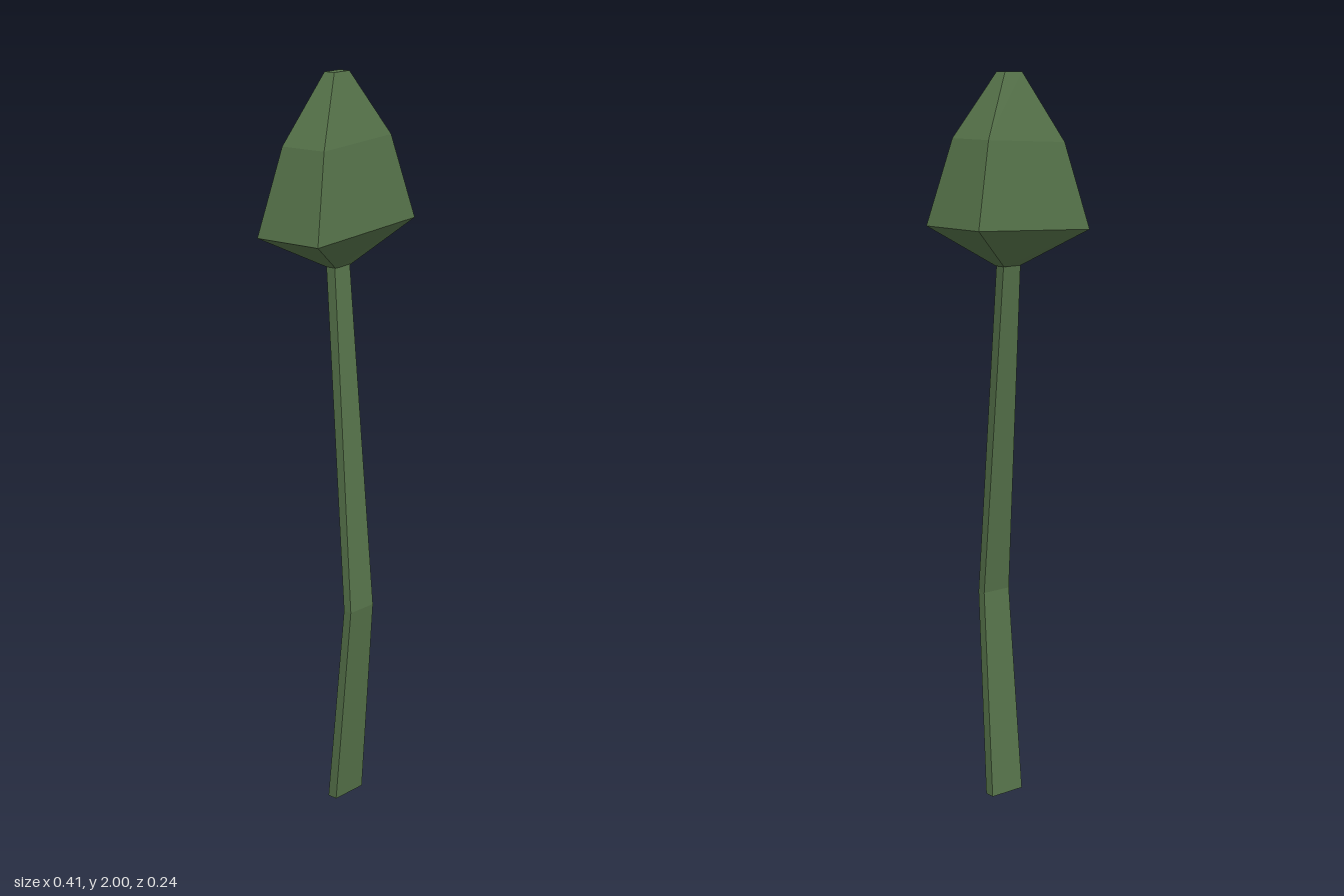
import * as THREE from 'three';

const material = new THREE.MeshStandardMaterial({ color: 0x56734a, flatShading: true });

// Joins four-cornered rings (listed bottom to top) into a closed, faceted solid.
// Corners run back-left, back-right, front-right, front-left as seen from above.
function loft(name, rings) {
  const index = [];
  for (let r = 0; r < rings.length - 1; r++) {
    for (let i = 0; i < 4; i++) {
      const j = (i + 1) % 4;
      const a = r * 4 + i, b = r * 4 + j, c = a + 4, d = b + 4;
      index.push(a, c, b, b, c, d);
    }
  }
  const t = (rings.length - 1) * 4;
  index.push(0, 1, 2, 0, 2, 3, t, t + 2, t + 1, t, t + 3, t + 2);

  const geometry = new THREE.BufferGeometry();
  geometry.setAttribute('position', new THREE.Float32BufferAttribute(rings.flat(2), 3));
  geometry.setIndex(index);
  const flat = geometry.toNonIndexed();
  flat.computeVertexNormals();
  const mesh = new THREE.Mesh(flat, material);
  mesh.name = name;
  return mesh;
}

// Level rectangle aligned with the axes
const rect = (y, x0, x1, z0, z1) => [[x0, y, z0], [x1, y, z0], [x1, y, z1], [x0, y, z1]];

// Rectangle turned slightly about y and sloping up towards +x
function turned(y, halfX, halfZ, cz, slope) {
  const angle = 0.068, c = Math.cos(angle), s = Math.sin(angle);
  return [[-1, -1], [1, -1], [1, 1], [-1, 1]].map(([u, v]) => {
    const x = u * halfX * c + v * halfZ * s;
    return [x, y + slope * x, cz - u * halfX * s + v * halfZ * c];
  });
}

export function createModel() {
  const group = new THREE.Group();
  group.name = 'budOnStalk';

  // Thin stalk with one bend
  group.add(loft('stalk', [
    rect(0, -0.083, 0.023, 0.037, 0.066),
    rect(0.58, -0.083, 0.005, 0.096, 0.121),
    rect(1.505, -0.03, 0.027, -0.018, 0.012),
  ]));

  // Faceted bud, widest low down
  group.add(loft('bud', [
    turned(1.5, 0.03, 0.016, -0.004, 0),
    turned(1.6, 0.198, 0.101, -0.007, 0.05),
    turned(1.826, 0.135, 0.069, -0.007, 0.05),
    turned(2, 0.03, 0.016, -0.008, 0),
  ]));

  return group;
}
